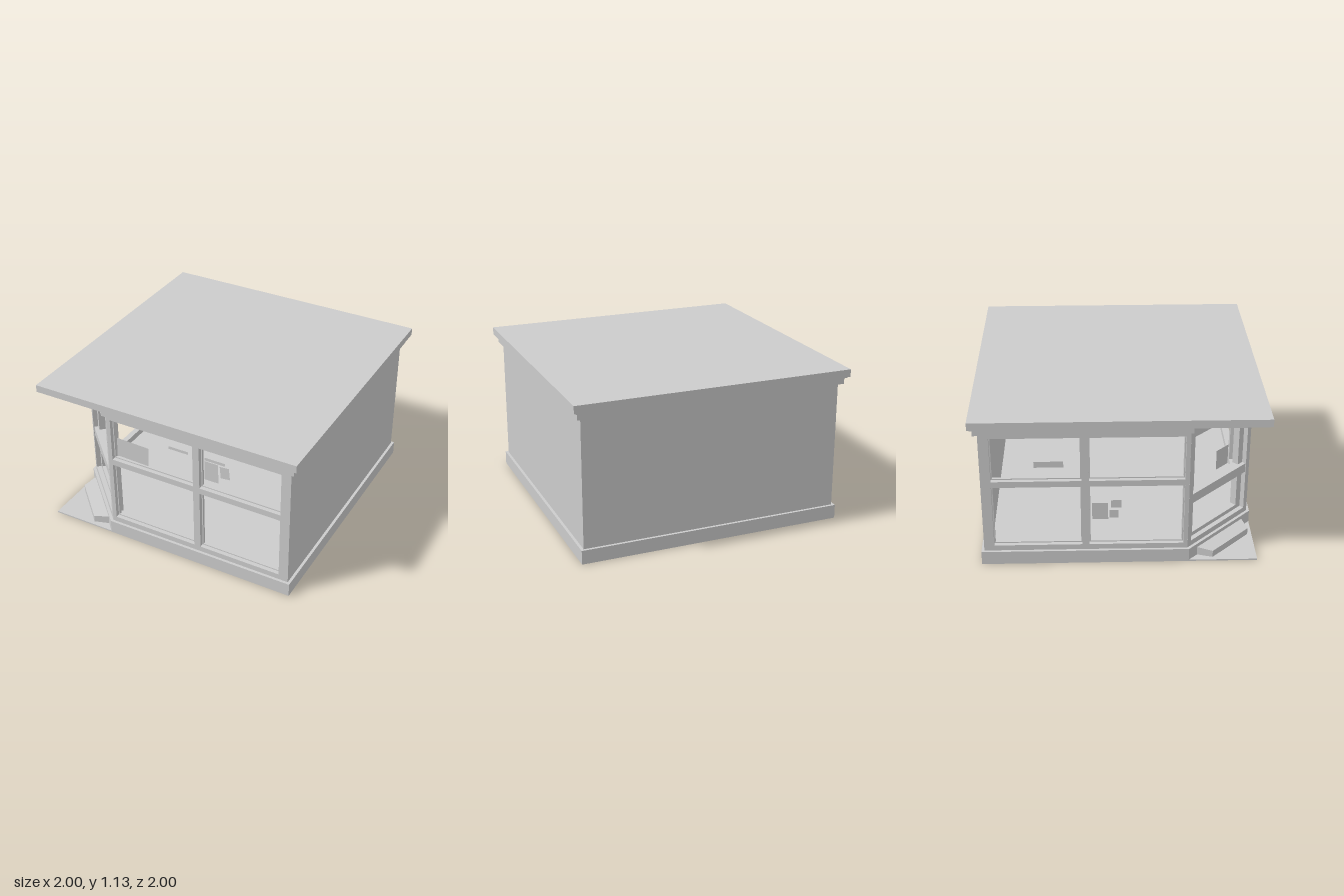
import * as THREE from 'three';

const material = new THREE.MeshStandardMaterial({ color: 0xcccccc, flatShading: true });
const thin = new THREE.MeshStandardMaterial({ color: 0xcccccc, side: THREE.DoubleSide });

function add(parent, name, geometry, mat = material) {
  const mesh = new THREE.Mesh(geometry, mat);
  mesh.name = name;
  parent.add(mesh);
  return mesh;
}

function box(parent, name, x0, x1, y0, y1, z0, z1) {
  const mesh = add(parent, name, new THREE.BoxGeometry(x1 - x0, y1 - y0, z1 - z0));
  mesh.position.set((x0 + x1) / 2, (y0 + y1) / 2, (z0 + z1) / 2);
}

// Horizontal slab from plan points [x, z]
function slab(parent, name, points, y0, y1) {
  const shape = new THREE.Shape(points.map(([x, z]) => new THREE.Vector2(x, -z)));
  const geometry = new THREE.ExtrudeGeometry(shape, { depth: y1 - y0, bevelEnabled: false });
  geometry.rotateX(-Math.PI / 2).translate(0, y0, 0);
  return add(parent, name, geometry);
}

// Square plan of half-size r with the entrance corner cut off
const cutSquare = (r) => [[-r, -r], [r, -r], [r, r], [-r / 2, r], [-r, r / 2]];

const corners = ([x0, x1, y0, y1]) =>
  [[x0, y0], [x1, y0], [x1, y1], [x0, y1]].map(([x, y]) => new THREE.Vector2(x, y));

// Upright panel with rectangular openings, each given as [x0, x1, y0, y1]
function panel(parent, name, outline, openings, z0, z1) {
  const shape = new THREE.Shape(corners(outline));
  shape.holes = openings.map((o) => new THREE.Path(corners(o).reverse()));
  const geometry = new THREE.ExtrudeGeometry(shape, { depth: z1 - z0, bevelEnabled: false });
  add(parent, name, geometry.translate(0, 0, z0));
}

function poster(parent, name, [x0, x1, y0, y1], z, tilt = 0) {
  const mesh = add(parent, name, new THREE.PlaneGeometry(x1 - x0, y1 - y0), thin);
  mesh.position.set((x0 + x1) / 2, (y0 + y1) / 2, z);
  mesh.rotation.z = tilt;
}

const inset = ([x0, x1, y0, y1], d) => [x0 + d, x1 - d, y0 + d, y1 - d];

// Shop window wall with four panes; side = -1 mirrors it
function windowWall(parent, name, side) {
  const wall = new THREE.Group();
  wall.name = name;
  parent.add(wall);
  const flip = ([a, b, c, d]) => (side > 0 ? [a, b, c, d] : [-b, -a, c, d]);
  const panes = [];
  for (const [x0, x1] of [[-0.44, 0.21], [0.26, 0.87]])
    for (const [y0, y1] of [[0.14, 0.605], [0.65, 0.98]]) panes.push(flip([x0, x1, y0, y1]));
  const outline = flip([-0.47, 0.94, 0.1, 1.02]);
  panel(wall, 'windowFrame', outline, panes, 0.91, 0.94);
  panel(wall, 'windowInnerFrame', outline, panes.map((p) => inset(p, 0.008)), 0.89, 0.91);
  return wall;
}

export function createModel() {
  const model = new THREE.Group();
  model.name = 'cornerShop';

  // Base, cornice and roof
  slab(model, 'plinth', cutSquare(0.96), 0, 0.1);
  slab(model, 'cornice', cutSquare(0.97), 1.02, 1.065);
  box(model, 'roofTrim', -0.985, 0.985, 1.065, 1.076, -0.985, 0.985);
  box(model, 'roof', -1, 1, 1.076, 1.13, -1, 1);

  // Solid walls
  box(model, 'backWall', -0.94, 0.94, 0.1, 1.02, -0.94, -0.89);
  box(model, 'leftWall', 0.89, 0.94, 0.1, 1.02, -0.89, 0.89);

  // Window walls with their notices
  const front = windowWall(model, 'frontWindows', 1);
  poster(front, 'poster', [-0.42, -0.165, 0.665, 0.815], 0.9, -0.03);
  poster(front, 'notice', [0.0, 0.155, 0.867, 0.888], 0.9);
  poster(front, 'notice', [0.28, 0.435, 0.867, 0.888], 0.9);
  poster(front, 'poster', [0.28, 0.385, 0.71, 0.86], 0.9);
  poster(front, 'poster', [0.4, 0.47, 0.765, 0.855], 0.9, 0.09);

  const side = windowWall(model, 'rightWindows', -1);
  side.rotation.y = -Math.PI / 2;
  poster(side, 'notice', [-0.58, -0.38, 0.735, 0.78], 0.9);
  poster(side, 'poster', [-0.19, -0.08, 0.32, 0.45], 0.9);
  poster(side, 'poster', [-0.06, 0.01, 0.41, 0.47], 0.9);
  poster(side, 'poster', [-0.07, -0.01, 0.33, 0.39], 0.9);

  // Entrance across the cut corner
  const entrance = new THREE.Group();
  entrance.name = 'entrance';
  entrance.rotation.y = -Math.PI / 4;
  model.add(entrance);
  const face = 0.94 * 0.75 * Math.SQRT2;
  const doorway = [-0.295, 0.295, 0.14, 0.98];
  panel(entrance, 'doorFrame', [-0.332, 0.332, 0.1, 1.02], [doorway], face - 0.06, face);
  panel(entrance, 'door', doorway,
    [[-0.245, 0.245, 0.17, 0.44], [-0.245, 0.245, 0.51, 0.93]], face - 0.085, face - 0.035);
  box(entrance, 'doorBar', -0.295, 0.295, 0.44, 0.51, face - 0.035, face - 0.005);
  poster(entrance, 'doorPoster', [0.025, 0.155, 0.55, 0.7], face - 0.06);

  // Paving in the corner and the tapered step, sloping gently outward
  slab(model, 'cornerPaving', [[-0.96, 0.48], [-0.48, 0.96], [-0.96, 0.96]], 0, 0.01);
  const step = slab(model, 'step', [[-0.89, 0.52], [-0.52, 0.89], [-0.65, 0.93], [-0.93, 0.65]], 0.01, 0.075);
  const pos = step.geometry.attributes.position;
  for (let i = 0; i < pos.count; i++)
    if (pos.getY(i) > 0.05 && pos.getZ(i) - pos.getX(i) > 1.5) pos.setY(i, 0.06);
  step.geometry.computeVertexNormals();

  return model;
}
